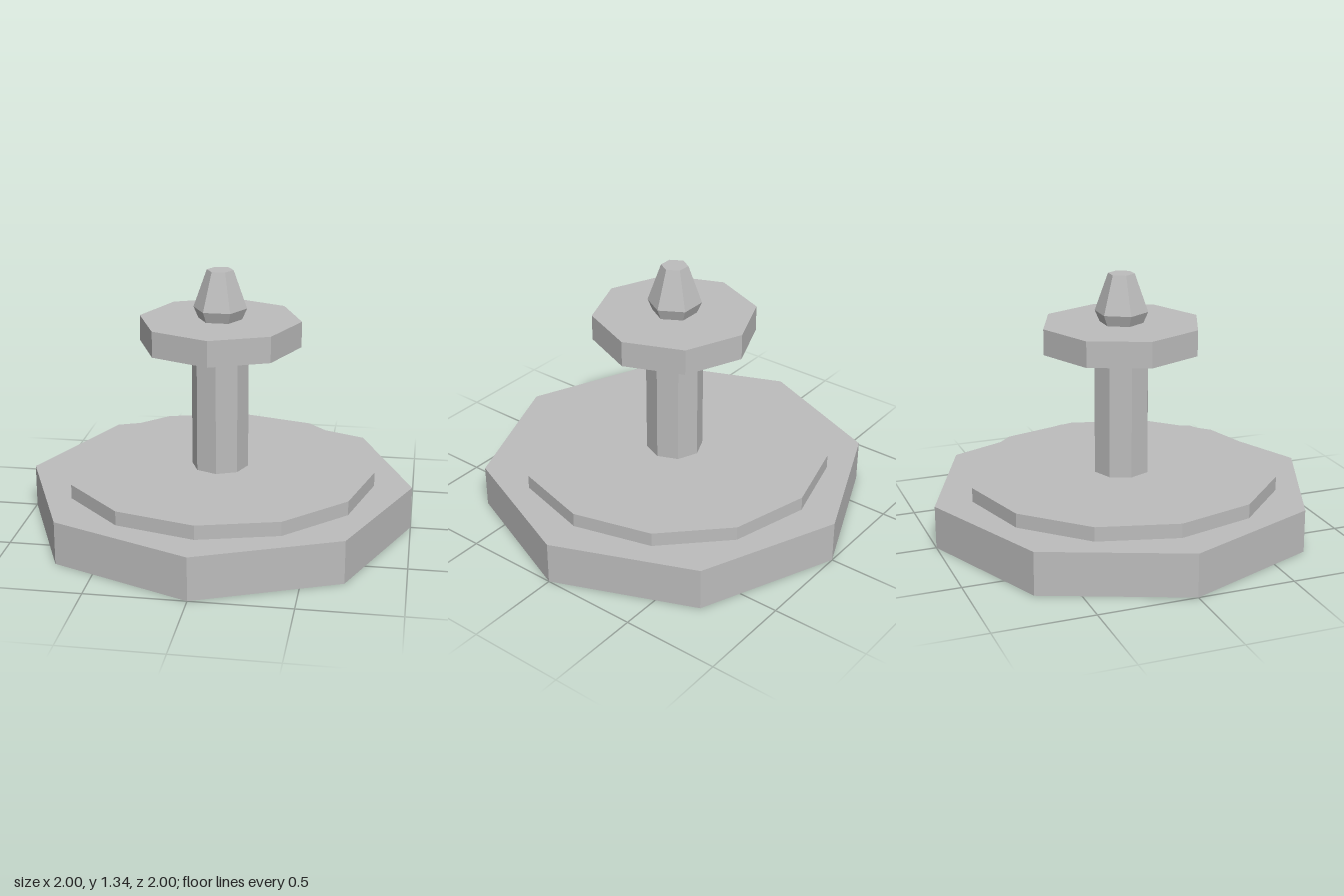
import * as THREE from 'three';

export function createModel() {
  const group = new THREE.Group();
  const stone = new THREE.MeshStandardMaterial({ color: 0xbcbcbc, flatShading: true });
  stone.name = 'grey stone';

  // Faceted prism or frustum between two heights, with one corner on the x axis
  function tier(name, sides, bottomRadius, topRadius, y0, y1) {
    const geometry = new THREE.CylinderGeometry(topRadius, bottomRadius, y1 - y0, sides);
    geometry.rotateY(Math.PI / 2);
    geometry.translate(0, (y0 + y1) / 2, 0);
    const mesh = new THREE.Mesh(geometry, stone);
    mesh.name = name;
    group.add(mesh);
  }

  // Stepped base
  tier('lowerBasin', 8, 1, 1, 0, 0.222);
  tier('basinStep', 12, 0.805, 0.805, 0.222, 0.295);

  // Column and upper dish
  tier('column', 8, 0.147, 0.147, 0.295, 0.95);
  tier('upperDish', 8, 0.415, 0.415, 0.95, 1.083);

  // Hexagonal finial, flared at its foot, tapering to a flat tip
  const profile = [[0, 1.083], [0.112, 1.083], [0.137, 1.14], [0.068, 1.335], [0, 1.335]];
  const finialGeometry = new THREE.LatheGeometry(profile.map(([r, y]) => new THREE.Vector2(r, y)), 6);
  finialGeometry.rotateY(Math.PI / 2);
  const finial = new THREE.Mesh(finialGeometry, stone);
  finial.name = 'finial';
  group.add(finial);

  return group;
}
